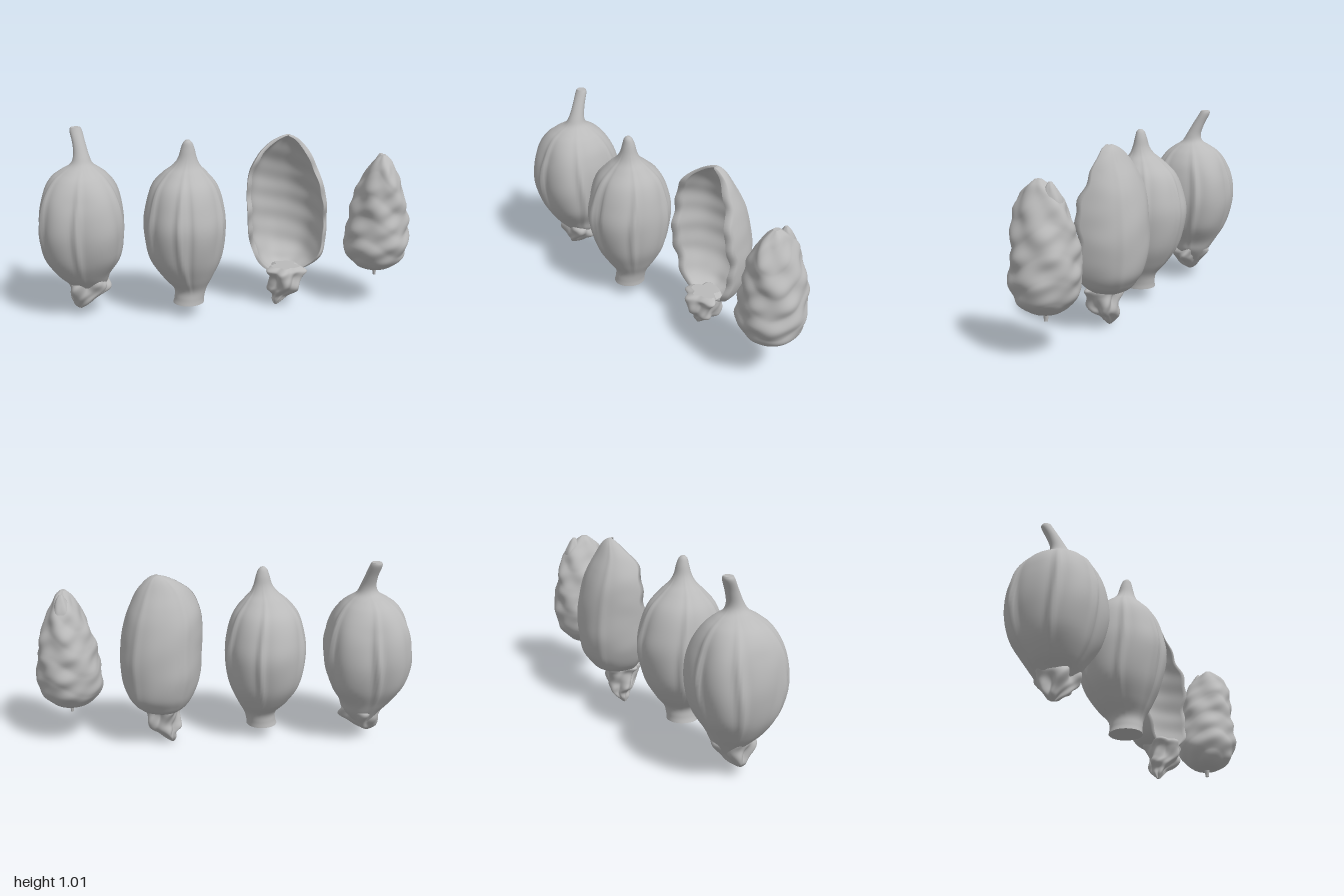
import * as THREE from 'three';

const husk = new THREE.MeshStandardMaterial({ color: 0xbababa });
husk.name = 'huskGrey';

const gauss = (d, w) => Math.exp(-(d * d) / (w * w));
const angleGap = (a, b) => Math.atan2(Math.sin(a - b), Math.cos(a - b));
const clamp01 = (v) => Math.min(1, Math.max(0, v));

// Catmull-Rom sample of the ring table [y, cx, cz, rx, rz] at t in 0..1
function sampleRing(rings, t) {
  const f = t * (rings.length - 1);
  const i = Math.min(Math.floor(f), rings.length - 2);
  const k = f - i;
  const at = (n) => rings[Math.min(rings.length - 1, Math.max(0, n))];
  const [a, b, c, d] = [at(i - 1), at(i), at(i + 1), at(i + 2)];
  return b.map((v, j) => v + 0.5 * k * (c[j] - a[j] +
    k * (2 * a[j] - 5 * v + 4 * c[j] - d[j] + k * (3 * (v - c[j]) + d[j] - a[j]))));
}

// Closed surface through rings; section(u, ring) gives [x, y, z] around each ring
function loft(name, rings, section, rows = 64, seg = 96) {
  const pos = [], index = [];
  for (let r = 0; r <= rows; r++) {
    const ring = sampleRing(rings, r / rows);
    for (let s = 0; s < seg; s++) pos.push(...section(s / seg, ring));
  }
  for (let r = 0; r < rows; r++) {
    for (let s = 0; s < seg; s++) {
      const a = r * seg + s, b = r * seg + (s + 1) % seg;
      index.push(a, a + seg, b, b, a + seg, b + seg);
    }
  }
  // end caps with their own vertices so that cut ends stay crisp
  for (const r of [0, rows]) {
    const start = pos.length / 3, mid = [0, 0, 0];
    for (let s = 0; s < seg; s++) {
      for (let j = 0; j < 3; j++) {
        const v = pos[(r * seg + s) * 3 + j];
        pos.push(v);
        mid[j] += v / seg;
      }
    }
    pos.push(...mid);
    for (let s = 0; s < seg; s++) {
      const a = start + s, b = start + (s + 1) % seg;
      index.push(...(r ? [a, start + seg, b] : [a, b, start + seg]));
    }
  }
  const geo = new THREE.BufferGeometry();
  geo.setAttribute('position', new THREE.Float32BufferAttribute(pos, 3));
  geo.setIndex(index);
  geo.computeVertexNormals();
  const mesh = new THREE.Mesh(geo, husk);
  mesh.name = name;
  return mesh;
}

// Round section whose radius is scaled by shape(angle, y)
const round = (shape) => (u, [y, cx, cz, rx, rz]) => {
  const a = u * Math.PI * 2, k = shape(a, y);
  return [cx + rx * k * Math.cos(a), y, cz + rz * k * Math.sin(a)];
};

// Narrow seams standing between shallow furrows, fading at both ends of the pod
const seams = (angles, amp, low, high) => (a, y) => {
  const fade = Math.sin(Math.PI * clamp01((y - low) / (high - low)));
  let k = 1 + 0.008 * Math.sin(3 * a + 9 * y) * Math.sin(14 * y + 2 * a);
  for (const deg of angles) {
    const d = angleGap(a, deg * Math.PI / 180 + 0.06 * Math.sin(8 * y + deg));
    k += fade * amp * (gauss(d, 0.08) - 0.5 * gauss(d, 0.24));
  }
  return k;
};

// Crumpled remains of the flower at the foot of a pod
const crumple = (phase) => round((a, y) => 1 + 0.13 * Math.sin(5 * a + phase + 12 * y) +
  0.08 * Math.sin(3 * a - 40 * y + phase) + 0.05 * Math.sin(8 * a + 55 * y));

function stemmedPod() {
  const g = new THREE.Group();
  g.name = 'stemmedPod';
  const ridges = seams([-98, 209, 27, -25, 150, 92], 0.1, 0.18, 0.86);
  const square = (a, y) => {
    const body = clamp01((y - 0.2) / 0.15) * clamp01((0.82 - y) / 0.15);
    return ridges(a, y) * (1 - 0.045 * body * Math.cos(4 * a));
  };
  g.add(loft('podAndStem', [
    [0.13, -0.75, -0.03, 0.05, 0.05], [0.19, -0.75, -0.02, 0.105, 0.1],
    [0.25, -0.765, -0.01, 0.145, 0.145], [0.35, -0.765, -0.01, 0.205, 0.207],
    [0.48, -0.765, -0.01, 0.232, 0.243], [0.6, -0.765, -0.01, 0.227, 0.238],
    [0.7, -0.765, -0.01, 0.2, 0.205], [0.77, -0.765, -0.01, 0.155, 0.16],
    [0.81, -0.76, -0.01, 0.105, 0.11], [0.84, -0.755, -0.012, 0.06, 0.062],
    [0.88, -0.755, -0.02, 0.042, 0.042], [0.94, -0.765, -0.045, 0.034, 0.034],
    [1.0, -0.78, -0.075, 0.033, 0.03], [1.02, -0.782, -0.08, 0.026, 0.024]], round(square)));
  g.add(loft('driedCalyx', [
    [0.05, -0.79, 0.01, 0.01, 0.01], [0.075, -0.78, 0.005, 0.045, 0.04],
    [0.11, -0.765, 0, 0.07, 0.065], [0.15, -0.745, -0.005, 0.1, 0.085],
    [0.19, -0.745, -0.01, 0.105, 0.1], [0.23, -0.75, -0.01, 0.09, 0.09]], crumple(1), 32));
  return g;
}

function closedPod() {
  const ridges = seams([98, 206, -27, -84, 150, 30], 0.09, 0.14, 0.9);
  // the front seam gapes slightly
  const split = (a, y) => ridges(a, y) - 0.05 * gauss(angleGap(a, 1.5), 0.06) *
    Math.sin(Math.PI * clamp01((y - 0.1) / 0.78));
  return loft('closedPod', [
    [0.078, -0.21, 0.045, 0.083, 0.086], [0.11, -0.205, 0.043, 0.08, 0.084],
    [0.16, -0.2, 0.038, 0.09, 0.092], [0.23, -0.212, 0.03, 0.14, 0.142],
    [0.34, -0.222, 0.025, 0.197, 0.2], [0.5, -0.223, 0.025, 0.219, 0.236],
    [0.62, -0.223, 0.025, 0.206, 0.216], [0.72, -0.223, 0.027, 0.174, 0.175],
    [0.79, -0.22, 0.032, 0.118, 0.11], [0.83, -0.213, 0.037, 0.075, 0.068],
    [0.87, -0.207, 0.04, 0.05, 0.045], [0.92, -0.205, 0.04, 0.036, 0.032],
    [0.952, -0.205, 0.042, 0.024, 0.022], [0.966, -0.205, 0.043, 0.01, 0.01]], round(split));
}

function openShell() {
  const g = new THREE.Group();
  g.name = 'openShell';
  // outer arc across the back, then the hollow inner arc returning
  const section = (u, [y, cx, cz, rx, rz]) => {
    const inner = u >= 0.5;
    const a = Math.PI * (inner ? 3 - 2 * u : 1 + 2 * u);
    const bump = 0.01 * Math.sin(3 * a + 10 * y) * Math.sin(16 * y + a);
    const rib = 0.05 * gauss(a - 4.1, 0.1) + 0.05 * gauss(a - 5.3, 0.1);
    const wall = 0.024 + 0.004 * Math.sin(23 * y + 5 * a) * Math.sin(31 * y - 2 * a);
    const sx = inner ? Math.max(rx - wall, rx * 0.15) : rx * (1 + bump + rib * 0.5);
    const sz = inner ? Math.max(rz - wall, rz * 0.15) : rz * (1 + bump + rib * 0.5);
    const edge = Math.pow(Math.abs(Math.cos(a)), 8);
    const ragged = edge * (0.012 * Math.sin(19 * y + 2 * Math.cos(a)) + 0.006 * Math.sin(47 * y));
    const c = Math.cos(a), s = Math.sin(a);
    return [cx + sx * Math.sign(c) * Math.pow(Math.abs(c), 0.9), y,
      cz + ragged - sz * Math.pow(Math.abs(s), 0.85)];
  };
  g.add(loft('hollowHusk', [
    [0.2, 0.33, -0.03, 0.07, 0.1], [0.225, 0.335, -0.02, 0.12, 0.16],
    [0.26, 0.34, -0.01, 0.16, 0.2], [0.32, 0.342, 0, 0.192, 0.245],
    [0.42, 0.336, 0.005, 0.215, 0.268], [0.52, 0.335, 0.005, 0.219, 0.27],
    [0.62, 0.328, 0.005, 0.215, 0.261], [0.72, 0.318, 0, 0.202, 0.235],
    [0.8, 0.314, -0.015, 0.174, 0.188], [0.87, 0.318, -0.035, 0.135, 0.128],
    [0.92, 0.328, -0.058, 0.085, 0.075], [0.945, 0.337, -0.072, 0.045, 0.04],
    [0.957, 0.34, -0.08, 0.012, 0.015]], section, 80));
  g.add(loft('driedCalyx', [
    [0.008, 0.28, -0.04, 0.008, 0.008], [0.035, 0.29, -0.045, 0.03, 0.028],
    [0.065, 0.305, -0.05, 0.045, 0.045], [0.095, 0.32, -0.04, 0.078, 0.065],
    [0.13, 0.33, -0.03, 0.078, 0.08], [0.18, 0.33, -0.03, 0.085, 0.085],
    [0.215, 0.327, -0.03, 0.1, 0.09], [0.235, 0.33, -0.04, 0.07, 0.07]], crumple(3), 40));
  return g;
}

function kernel() {
  const g = new THREE.Group();
  g.name = 'wrinkledKernel';
  // staggered, overlapping swellings
  const lumps = (a, y) => 1 + 0.045 * Math.sin(3 * a + 19 * y) * Math.sin(37 * y - 2 * a) +
    0.03 * Math.sin(5 * a - 24 * y) + 0.03 * Math.abs(Math.sin(26 * y + 1.5 * Math.sin(2 * a))) -
    0.018 + 0.012 * Math.sin(7 * a + 61 * y);
  g.add(loft('kernelBody', [
    [0.212, 0.825, -0.01, 0.02, 0.02], [0.222, 0.823, -0.01, 0.07, 0.07],
    [0.25, 0.822, -0.012, 0.118, 0.112], [0.3, 0.822, -0.012, 0.16, 0.15],
    [0.38, 0.826, -0.013, 0.174, 0.172], [0.48, 0.83, -0.018, 0.162, 0.168],
    [0.58, 0.833, -0.015, 0.146, 0.158], [0.67, 0.835, -0.008, 0.118, 0.146],
    [0.74, 0.837, -0.003, 0.088, 0.125], [0.79, 0.84, 0, 0.062, 0.095],
    [0.83, 0.842, 0.003, 0.04, 0.05], [0.855, 0.842, 0.005, 0.014, 0.018]], round(lumps), 96));
  g.add(loft('sideTip', [
    [0.7, 0.84, -0.07, 0.05, 0.06], [0.77, 0.842, -0.07, 0.045, 0.045],
    [0.82, 0.845, -0.063, 0.026, 0.026], [0.848, 0.845, -0.06, 0.008, 0.008]], round(lumps), 20, 32));
  g.add(loft('stalk', [
    [0.174, 0.825, -0.01, 0.008, 0.01], [0.19, 0.824, -0.01, 0.009, 0.012],
    [0.23, 0.822, -0.01, 0.018, 0.018]], round(() => 1), 8, 16));
  return g;
}

export function createModel() {
  const model = new THREE.Group();
  model.name = 'driedSeedPods';
  model.add(stemmedPod(), closedPod(), openShell(), kernel());
  return model;
}
